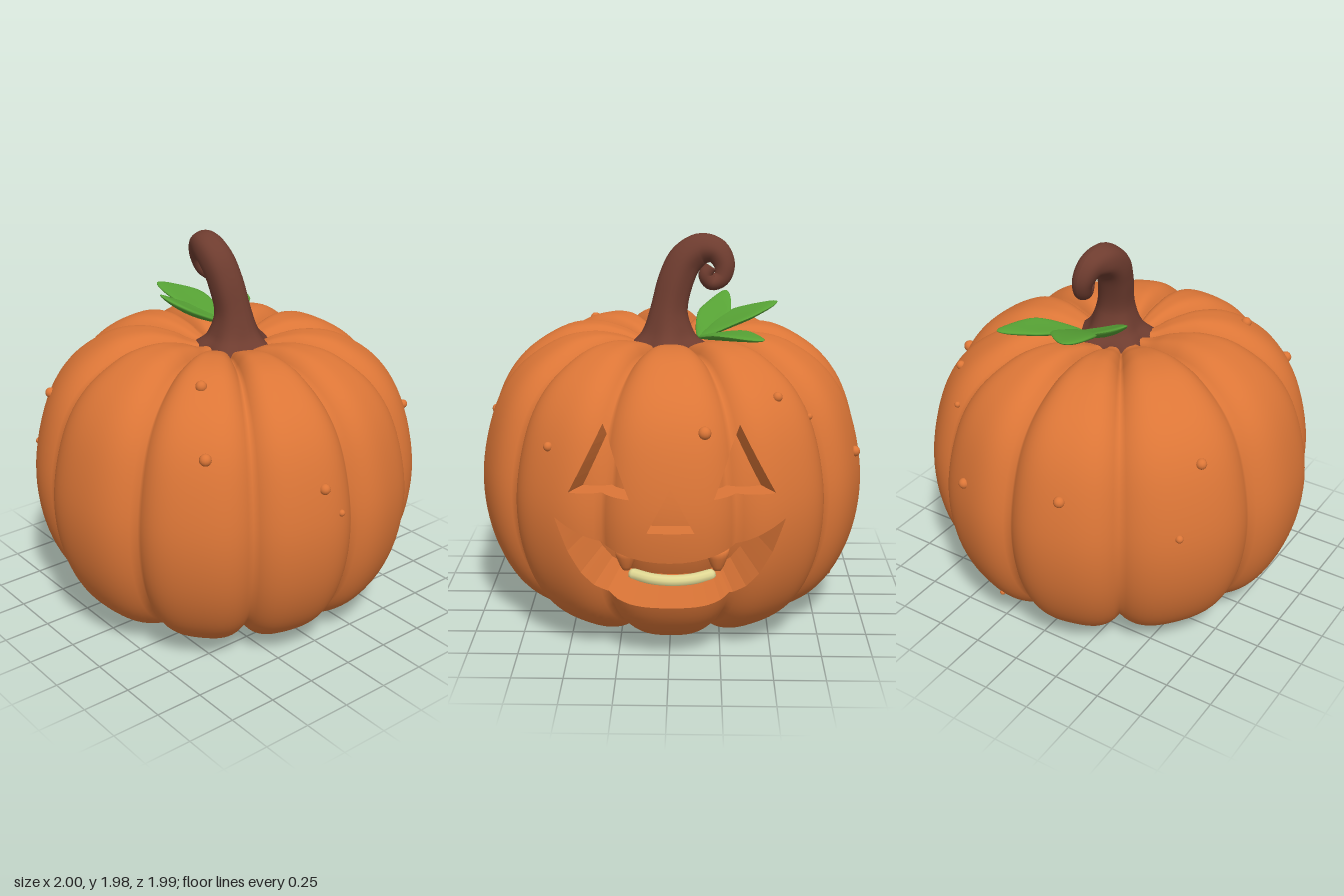
import * as THREE from 'three';

const V = (x, y, z) => new THREE.Vector3(x, y, z);
const mat = (name, color, side = THREE.FrontSide) => {
  const m = new THREE.MeshStandardMaterial({ color, side });
  m.name = name;
  return m;
};

// Crest profile (radius, height) from crown to base, and the groove angles in degrees
const PROFILE = new THREE.SplineCurve([
  [0.001, 1.42], [0.15, 1.43], [0.27, 1.475], [0.42, 1.5], [0.6, 1.465], [0.8, 1.33], [0.93, 1.12], [1, 0.8],
  [0.975, 0.5], [0.87, 0.25], [0.7, 0.09], [0.47, 0.005], [0.22, 0.03], [0.001, 0.08],
].map(([r, y]) => new THREE.Vector2(r, y)));
const GROOVES = [-20, 20, 54, 87, 120, 155, 195, 238, 273, 306, 340];

// Skin point at rib k, position u (0..1) across the rib, t (0..1) down the profile
function skin(k, u, t) {
  const a = THREE.MathUtils.degToRad(THREE.MathUtils.lerp(GROOVES[k], GROOVES[k + 1], u));
  const p = PROFILE.getPoint(t), d = PROFILE.getTangent(t);
  const fade = Math.min(1, p.x / 0.35);
  const depth = 0.075 * fade * Math.pow(Math.abs(2 * u - 1), 3.6);
  const r = Math.max(0.001, p.x + d.y * depth), y = p.y - d.x * depth;
  return V(r * Math.cos(a), y * (1 - 0.012 * Math.cos(a) * Math.max(0, y - 0.75)), r * Math.sin(a));
}

// Skin point at a given direction and height, below the crown
function skinAt(x, y, z) {
  let a = THREE.MathUtils.radToDeg(Math.atan2(z, x));
  if (a < -20) a += 360;
  const k = Math.min(9, GROOVES.findIndex((g, i) => a >= g && a <= GROOVES[i + 1]));
  const u = (a - GROOVES[k]) / (GROOVES[k + 1] - GROOVES[k]);
  let t = 0.3;
  while (t < 0.9 && skin(k, u, t).y > y) t += 0.002;
  return skin(k, u, t);
}

// Ribbed skin as an indexed grid with smooth normals
function skinGrid() {
  const across = 20, rows = 76, cols = across * 10, pos = [], idx = [];
  for (let j = 0; j <= rows; j++)
    for (let i = 0; i < cols; i++)
      pos.push(...skin(Math.floor(i / across), (i % across) / across, j / rows).toArray());
  for (let j = 0; j < rows; j++)
    for (let i = 0; i < cols; i++) {
      const n = (i + 1) % cols, a = j * cols + i, b = j * cols + n;
      idx.push(a, b, b + cols, a, b + cols, a + cols);
    }
  const g = new THREE.BufferGeometry();
  g.setAttribute('position', new THREE.Float32BufferAttribute(pos, 3));
  g.setIndex(idx);
  g.computeVertexNormals();
  return g;
}

// Convex cut-out in (z, y); open lists the edges that are real outlines
function cutout(points, open, sink) {
  const n = points.length, edges = [];
  const area = points.reduce((s, p, i) => {
    const q = points[(i + 1) % n];
    return s + p[0] * q[1] - q[0] * p[1];
  }, 0);
  points.forEach((p, i) => {
    const q = points[(i + 1) % n], len = Math.hypot(q[0] - p[0], q[1] - p[1]);
    if (len < 1e-6) return;
    const s = Math.sign(area) / len;
    edges.push({
      wall: open[i],
      f: (v) => s * ((q[0] - p[0]) * (v.p.y - p[1]) - (q[1] - p[1]) * (v.p.z - p[0])),
    });
  });
  return { edges, sink };
}

function faceCutouts() {
  const sinkTo = (cy, sx, sy, sz) => (p) => V(p.x * sx, cy + (p.y - cy) * sy, p.z * sz);
  const all = [true, true, true];
  const cuts = [
    cutout([[0.31, 1.2], [0.47, 0.89], [0.18, 0.89]], all, sinkTo(0.89, 0.87, 0.95, 0.87)),
    cutout([[-0.33, 1.2], [-0.5, 0.89], [-0.21, 0.89]], all, sinkTo(0.89, 0.87, 0.95, 0.87)),
    cutout([[-0.01, 0.95], [0.1, 0.74], [-0.12, 0.74]], all, sinkTo(0.75, 0.9, 0.9, 0.85)),
  ];
  // Grin, as a row of upright strips
  const N = 18, at = (i) => {
    const u = -1 + (2 * i) / N;
    return { z: -0.005 + 0.545 * u, top: 0.59 + 0.17 * u * u, low: 0.33 + 0.43 * u ** 4 };
  };
  for (let i = 0; i < N; i++) {
    const a = at(i), b = at(i + 1);
    cuts.push(cutout([[a.z, a.low], [b.z, b.low], [b.z, b.top], [a.z, a.top]],
      [true, false, true, false], sinkTo(0.33, 0.55, 0.9, 0.82)));
  }
  return cuts;
}

// Splits a polygon by a signed distance into its inside and outside parts
function split(poly, f) {
  const inside = [], outside = [];
  poly.forEach((a, i) => {
    const b = poly[(i + 1) % poly.length], da = f(a), db = f(b);
    if (da >= -1e-9) inside.push(a);
    if (da <= 1e-9) outside.push(a);
    if ((da > 1e-9 && db < -1e-9) || (da < -1e-9 && db > 1e-9)) {
      const t = da / (da - db);
      const m = { p: a.p.clone().lerp(b.p, t), n: a.n.clone().lerp(b.n, t).normalize() };
      inside.push(m);
      outside.push(m);
    }
  });
  return [inside, outside];
}

// Skin with the face carved in: floors are sunk and walls close the rims
function carvedBody() {
  const grid = skinGrid(), P = grid.attributes.position, Nn = grid.attributes.normal, I = grid.index;
  const pos = [], nor = [];
  const emit = (poly) => {
    for (let i = 1; i + 1 < poly.length; i++)
      for (const v of [poly[0], poly[i], poly[i + 1]]) {
        pos.push(v.p.x, v.p.y, v.p.z);
        nor.push(v.n.x, v.n.y, v.n.z);
      }
  };
  const cuts = faceCutouts();
  for (let t = 0; t < I.count; t += 3) {
    const tri = [0, 1, 2].map((c) => {
      const i = I.getX(t + c);
      return { p: V().fromBufferAttribute(P, i), n: V().fromBufferAttribute(Nn, i) };
    });
    let pieces = [tri];
    const onFace = tri.every((v) => v.p.x > 0.5 && Math.abs(v.p.z) < 0.65 && v.p.y > 0.25 && v.p.y < 1.27);
    if (onFace) for (const { edges, sink } of cuts) {
      const left = [];
      for (const piece of pieces) {
        if (edges.some((e) => piece.every((v) => e.f(v) <= 1e-9))) { left.push(piece); continue; }
        let core = piece;
        for (const e of edges) {
          const [inn, out] = split(core, e.f);
          if (out.length > 2) left.push(out);
          core = inn;
          if (core.length < 3) break;
        }
        if (core.length < 3) continue;
        emit(core.map((v) => ({ p: sink(v.p), n: v.n })));
        core.forEach((a, i) => {
          const b = core[(i + 1) % core.length];
          if (!edges.some((e) => e.wall && Math.abs(e.f(a)) < 1e-6 && Math.abs(e.f(b)) < 1e-6)) return;
          const a2 = sink(a.p), b2 = sink(b.p);
          const n = b.p.clone().sub(a.p).cross(b2.clone().sub(a.p)).normalize();
          emit([a.p, b.p, b2, a2].map((p) => ({ p, n })));
        });
      }
      pieces = left;
    }
    pieces.forEach(emit);
  }
  const g = new THREE.BufferGeometry();
  g.setAttribute('position', new THREE.Float32BufferAttribute(pos, 3));
  g.setAttribute('normal', new THREE.Float32BufferAttribute(nor, 3));
  return g;
}

// Curled stem: rings of shrinking radius along a hooked path, lobed at the foot
function stemGeometry() {
  const keys = [ // x, y, z, radius
    [0.05, 1.41, 0.02, 0.2], [0.05, 1.48, 0.02, 0.135], [0.045, 1.6, 0.015, 0.095], [0.025, 1.75, -0.02, 0.09],
    [0.01, 1.85, -0.07, 0.088], [0.01, 1.905, -0.15, 0.08], [0.03, 1.895, -0.225, 0.066], [0.05, 1.83, -0.265, 0.054],
    [0.065, 1.765, -0.25, 0.045], [0.08, 1.745, -0.2, 0.04], [0.09, 1.785, -0.17, 0.036], [0.09, 1.825, -0.195, 0.03],
  ];
  const path = new THREE.CatmullRomCurve3(keys.map((k) => V(k[0], k[1], k[2])));
  const radii = new THREE.SplineCurve(keys.map((k, i) => new THREE.Vector2(i, k[3])));
  const g = new THREE.CylinderGeometry(1, 1, 1, 30, 60), p = g.attributes.position;
  for (let i = 0; i < p.count; i++) {
    const t = p.getY(i) + 0.5, x = p.getX(i), z = p.getZ(i);
    const T = path.getTangent(t), Z = V(1, 0, 0).cross(T).normalize(), X = T.clone().cross(Z);
    const lobe = 1 + (0.04 + 0.1 * Math.max(0, 1 - t * 8)) * Math.cos(5 * Math.atan2(z, x)) * (1 - t);
    const r = radii.getPoint(t).y * lobe;
    const q = path.getPoint(t).addScaledVector(X, x * r).addScaledVector(Z, z * r);
    p.setXYZ(i, q.x, q.y, q.z);
  }
  g.computeVertexNormals();
  return g;
}

// Plump leaf from base to tip, broad in the middle and drawn to a point
function leafGeometry(base, tip, width, thick, droop) {
  const along = tip.clone().sub(base), side = V(along.z, 0, -along.x).normalize();
  const up = along.clone().cross(side).normalize();
  const g = new THREE.SphereGeometry(1, 24, 20), p = g.attributes.position;
  for (let i = 0; i < p.count; i++) {
    const s = (p.getY(i) + 1) / 2, x = p.getX(i), z = p.getZ(i);
    const taper = 1.12 - 0.45 * Math.abs(s - 0.55) * 2;
    const q = base.clone().addScaledVector(along, s)
      .addScaledVector(side, x * width * taper)
      .addScaledVector(up, z * thick + droop * Math.sin(Math.PI * s) - 0.015 * (1 - x * x) * Math.sin(Math.PI * s));
    p.setXYZ(i, q.x, q.y, q.z);
  }
  g.computeVertexNormals();
  return g;
}

export function createModel() {
  const root = new THREE.Group();
  const orange = mat('pumpkin orange', 0xdc7637), brown = mat('stem brown', 0x6e3c2f);
  const green = mat('leaf green', 0x57a335, THREE.DoubleSide), cream = mat('tooth cream', 0xdfd793);
  const add = (name, geo, m, at) => {
    const mesh = new THREE.Mesh(geo, m);
    mesh.name = name;
    if (at) mesh.position.copy(at);
    root.add(mesh);
    return mesh;
  };
  add('pumpkinBody', carvedBody(), orange);
  add('stem', stemGeometry(), brown);

  const leafBase = V(0.14, 1.475, -0.14);
  add('leafRight', leafGeometry(leafBase, V(0.45, 1.525, -0.45), 0.085, 0.02, 0.025), green);
  add('leafBack', leafGeometry(leafBase, V(-0.03, 1.63, -0.54), 0.105, 0.02, 0.02), green);
  add('leafLeft', leafGeometry(leafBase, V(-0.2, 1.655, -0.28), 0.08, 0.02, -0.005), green);

  // Warts: direction and height on the skin, then radius
  [[-0.62, 1.19, 0.64, 0.03], [-0.16, 1.01, 0.97, 0.027], [-0.07, 0.87, 0.98, 0.017], [-0.48, 1.45, 0.43, 0.028],
    [0.75, 1.08, 0.57, 0.023], [0.9, 1.19, -0.17, 0.031], [0.66, 1.3, -0.52, 0.024], [0.55, 1.18, -0.67, 0.016],
    [0.33, 0.93, -0.95, 0.027], [0.2, 0.23, -0.81, 0.015], [-0.25, 1.04, -0.93, 0.028], [-0.74, 1.19, -0.48, 0.027],
    [-0.76, 0.86, -0.67, 0.02]]
    .forEach(([x, y, z, r]) => add('wart', new THREE.SphereGeometry(r, 14, 10), orange, skinAt(x, y, z)));

  // Two blunt fangs under the upper lip
  const fang = [[0.001, -0.065], [0.018, -0.06], [0.03, -0.04], [0.05, 0.01], [0.056, 0.05], [0.001, 0.06]];
  for (const z of [0.2, -0.23])
    add('upperTooth', new THREE.LatheGeometry(fang.map(([r, y]) => new THREE.Vector2(r, y)), 16), orange, V(0.88, 0.575, z));

  // Curved lower tooth row on the mouth ledge
  const row = new THREE.CatmullRomCurve3([V(0.57, 0.355, 0.18), V(0.615, 0.35, 0.09), V(0.63, 0.347, -0.01),
    V(0.615, 0.35, -0.11), V(0.57, 0.355, -0.2)]);
  add('lowerTooth', new THREE.TubeGeometry(row, 24, 0.03, 10), cream);
  for (const end of [row.getPoint(0), row.getPoint(1)]) add('lowerToothEnd', new THREE.SphereGeometry(0.03, 10, 8), cream, end);
  return root;
}
